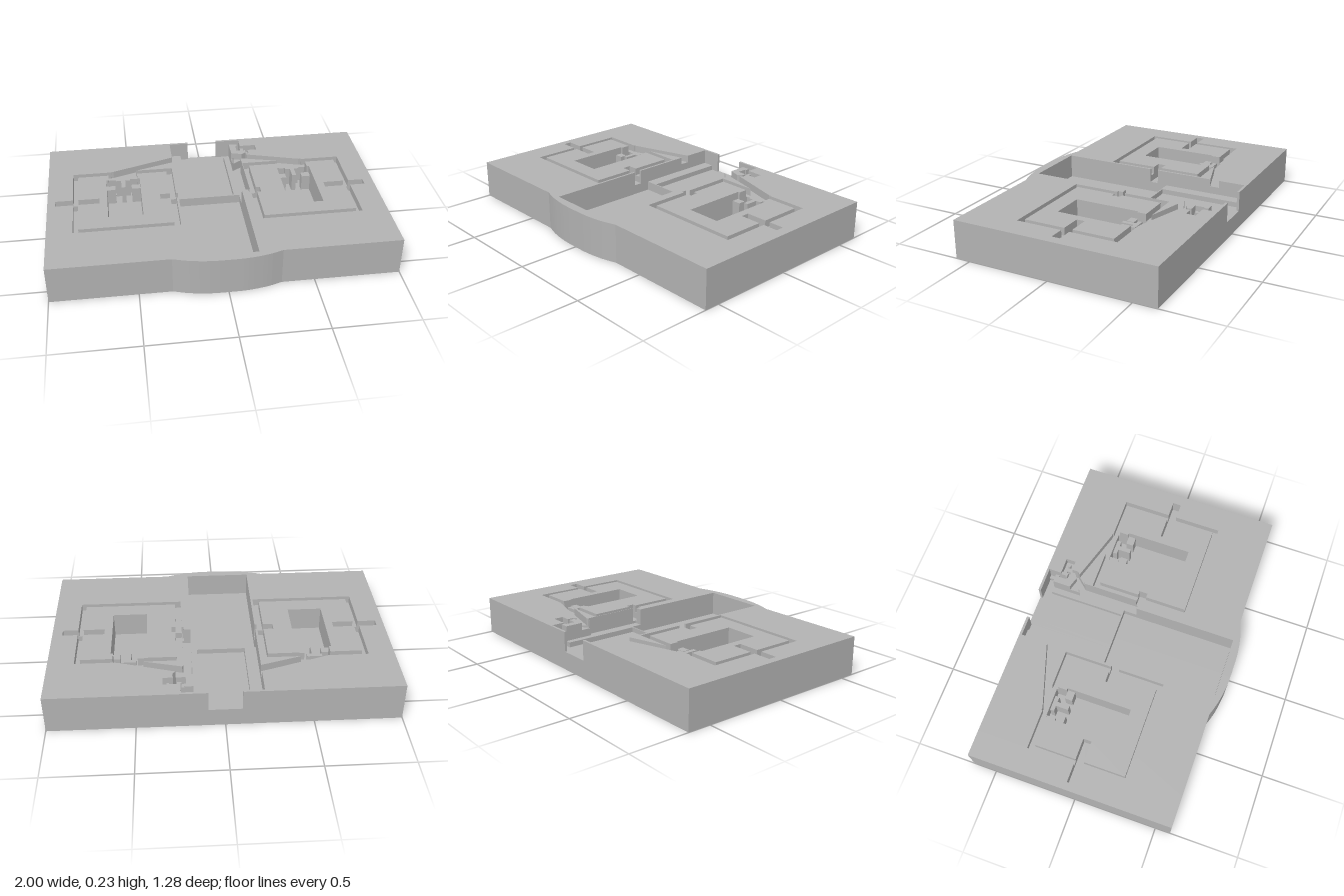
import * as THREE from 'three';

const TOP = 0.23;
const rect = (x0, x1, z0, z1) => [[x0, z0], [x1, z0], [x1, z1], [x0, z1]];

// Plan regions in painting order: the last one covering a spot sets its height.
function planRegions() {
  const list = [];
  const add = (name, y, pts) => list.push({ name, y, pts });

  // slab with a gently bulging front edge
  const bulge = new THREE.SplineCurve([[0.31, 0.59], [0.22, 0.617], [0.11, 0.634], [0, 0.637],
    [-0.11, 0.634], [-0.22, 0.617], [-0.31, 0.59]].map(p => new THREE.Vector2(...p)));
  add('body', TOP, [[-1, -0.64], [1, -0.64], [1, 0.59],
    ...bulge.getPoints(24).map(p => [p.x, p.y]), [-1, 0.59]]);

  // mirrored chambers with their seal grooves
  for (const s of [-1, 1]) {
    const box = (name, y, x0, x1, z0, z1) => add(name, y, rect(s * x0, s * x1, z0, z1));
    box('sealGroove', 0.185, 0.228, 0.848, -0.335, 0.28);
    box('body', TOP, 0.265, 0.817, -0.3, 0.25);
    box('clipSlot', 0.145, 0.69, s < 0 ? 0.955 : 0.94, -0.05, 0);
    box('clipSlot', 0.145, 0.215, s < 0 ? 0.325 : 0.29, -0.05, 0);
    const inner = s < 0 ? 0.2 : 0.17;
    add('wireChannel', 0.185, [[inner, -0.468], [0.612, -0.335], [0.455, -0.335], [inner, -0.41]]
      .map(([x, z]) => [s * x, z]));
    box('chamber', 0.085, 0.437, 0.643, -0.2, 0.15);
    box('terminalRecess', 0.185, 0.455, 0.61, -0.34, -0.3);
    box('terminalRecess', 0.085, 0.45, 0.63, -0.31, -0.2);
    box('terminalStep', 0.185, 0.437, 0.49, -0.245, -0.2);
    box('terminalStep', 0.185, 0.59, 0.643, -0.245, -0.2);
    box('terminalPost', 0.2, 0.497, 0.585, -0.3, -0.275);
    box('terminalPost', 0.2, 0.527, 0.553, -0.275, -0.2);
  }

  // small switch seat with its pin and lead
  add('switchSeat', 0.18, rect(0.215, 0.345, -0.55, -0.492));
  add('switchPin', 0.21, rect(0.308, 0.322, -0.527, -0.513));
  add('switchPin', 0.21, rect(0.24, 0.265, -0.55, -0.51));
  add('leadChannel', 0.13, [[0.17, -0.4], [0.27, -0.465], [0.27, -0.53], [0.287, -0.53],
    [0.287, -0.455], [0.225, -0.385], [0.225, -0.03], [0.17, -0.03]]);

  // rear bay: ledge, sunken channel, cable opening; then the deep front cavity
  add('rearLedge', 0.14, [[-0.215, -0.625], [0.245, -0.625], [0.245, -0.52], [0.225, -0.52],
    [0.225, -0.575], [0.175, -0.575], [0.175, -0.11], [-0.215, -0.11]]);
  add('rearChannel', 0.11, rect(-0.145, 0.14, -0.625, -0.117));
  add('rearChannel', 0.11, rect(0.13, 0.225, -0.625, -0.578));
  add('cableOpening', 0.11, rect(-0.095, 0.095, -0.65, -0.62));
  add('mainCavity', 0.085, rect(-0.215, 0.175, -0.11, 0.585));
  return list;
}

function inside(pts, x, z) {
  let hit = false;
  pts.forEach(([ax, az], i) => {
    const [bx, bz] = pts[(i + 1) % pts.length];
    if ((az > z) !== (bz > z) && x < ax + (z - az) * (bx - ax) / (bz - az)) hit = !hit;
  });
  return hit;
}

// Turns painted plan regions into one closed stepped solid, as triangles per region name.
function buildSteppedSolid(regions) {
  const outside = { name: 'body', y: 0 };
  const slab = regions[0];
  const regionAt = (x, z) => {
    if (!inside(slab.pts, x, z)) return outside;
    return regions.filter(r => inside(r.pts, x, z)).pop();
  };
  const out = {};
  const quad = (name, corners, normal) => {
    const v = corners.map(c => new THREE.Vector3(...c));
    const n = v[2].clone().sub(v[0]).cross(v[3].clone().sub(v[1]));
    if (n.dot(normal) < 0) v.reverse();
    const list = (out[name] ??= []);
    for (const i of [0, 1, 2, 0, 2, 3]) list.push(v[i].x, v[i].y, v[i].z);
  };
  // upright face between two neighbours, facing the lower one
  const wall = (a, b, p, q, towardB) => {
    if (Math.abs(a.y - b.y) < 1e-6) return;
    const low = a.y < b.y ? a : b;
    quad(low.name, [[p[0], a.y, p[1]], [q[0], a.y, q[1]], [q[0], b.y, q[1]], [p[0], b.y, p[1]]],
      low === b ? towardB : towardB.clone().negate());
  };

  // edges of every region, and the x positions where the plan changes
  const edges = [];
  let xs = [];
  for (const { pts } of regions) pts.forEach((p, i) => {
    const q = pts[(i + 1) % pts.length];
    xs.push(p[0]);
    if (Math.abs(p[0] - q[0]) > 1e-6) edges.push(p[0] < q[0] ? [p, q] : [q, p]);
  });
  const zAt = ([p, q], x) => p[1] + (q[1] - p[1]) * (x - p[0]) / (q[0] - p[0]);
  edges.forEach((e, i) => edges.slice(i + 1).forEach(f => {
    const x0 = Math.max(e[0][0], f[0][0]), x1 = Math.min(e[1][0], f[1][0]);
    if (x1 <= x0) return;
    const d0 = zAt(e, x0) - zAt(f, x0), d1 = zAt(e, x1) - zAt(f, x1);
    if (d0 * d1 < 0) xs.push(x0 + (x1 - x0) * d0 / (d0 - d1));
  }));
  xs = xs.sort((a, b) => a - b).filter((x, i, all) => i === 0 || x - all[i - 1] > 1e-6);

  // strips along x, each cut into trapezoids
  const strips = [];
  for (let i = 0; i + 1 < xs.length; i++) {
    const x0 = xs[i], x1 = xs[i + 1], xm = (x0 + x1) / 2;
    const cuts = edges.filter(e => e[0][0] < xm && e[1][0] > xm)
      .sort((a, b) => zAt(a, xm) - zAt(b, xm));
    const cells = [];
    let previous = outside;
    cuts.forEach((e, k) => {
      const next = cuts[k + 1];
      if (next && zAt(next, xm) - zAt(e, xm) < 1e-6) return;
      const region = next ? regionAt(xm, (zAt(e, xm) + zAt(next, xm)) / 2) : outside;
      if (region === previous) return;
      const z0 = zAt(e, x0), z1 = zAt(e, x1);
      wall(previous, region, [x0, z0], [x1, z1], new THREE.Vector3(z0 - z1, 0, x1 - x0));
      if (cells.length) Object.assign(cells[cells.length - 1], { b0: z0, b1: z1 });
      if (region !== outside) cells.push({ region, a0: z0, a1: z1 });
      previous = region;
    });
    for (const c of cells) {
      const face = y => [[x0, y, c.a0], [x1, y, c.a1], [x1, y, c.b1], [x0, y, c.b0]];
      quad(c.region.name, face(c.region.y), new THREE.Vector3(0, 1, 0));
      quad('body', face(0), new THREE.Vector3(0, -1, 0));
    }
    strips.push(cells);
  }

  // walls along the strip borders
  xs.forEach((x, i) => {
    const left = strips[i - 1] ?? [], right = strips[i] ?? [];
    const zs = [...left.flatMap(c => [c.a1, c.b1]), ...right.flatMap(c => [c.a0, c.b0])]
      .sort((a, b) => a - b);
    for (let k = 0; k + 1 < zs.length; k++) {
      if (zs[k + 1] - zs[k] < 1e-6) continue;
      const m = (zs[k] + zs[k + 1]) / 2;
      const l = left.find(c => c.a1 < m && c.b1 > m)?.region ?? outside;
      const r = right.find(c => c.a0 < m && c.b0 > m)?.region ?? outside;
      wall(l, r, [x, zs[k]], [x, zs[k + 1]], new THREE.Vector3(1, 0, 0));
    }
  });
  return out;
}

export function createModel() {
  const group = new THREE.Group();
  group.name = 'enclosureHalf';
  const grey = new THREE.MeshStandardMaterial({ color: 0xb2b2b2 });
  grey.name = 'plainGrey';
  for (const [name, positions] of Object.entries(buildSteppedSolid(planRegions()))) {
    const geometry = new THREE.BufferGeometry();
    geometry.setAttribute('position', new THREE.Float32BufferAttribute(positions, 3));
    geometry.computeVertexNormals();
    const mesh = new THREE.Mesh(geometry, grey);
    mesh.name = name;
    group.add(mesh);
  }
  return group;
}
